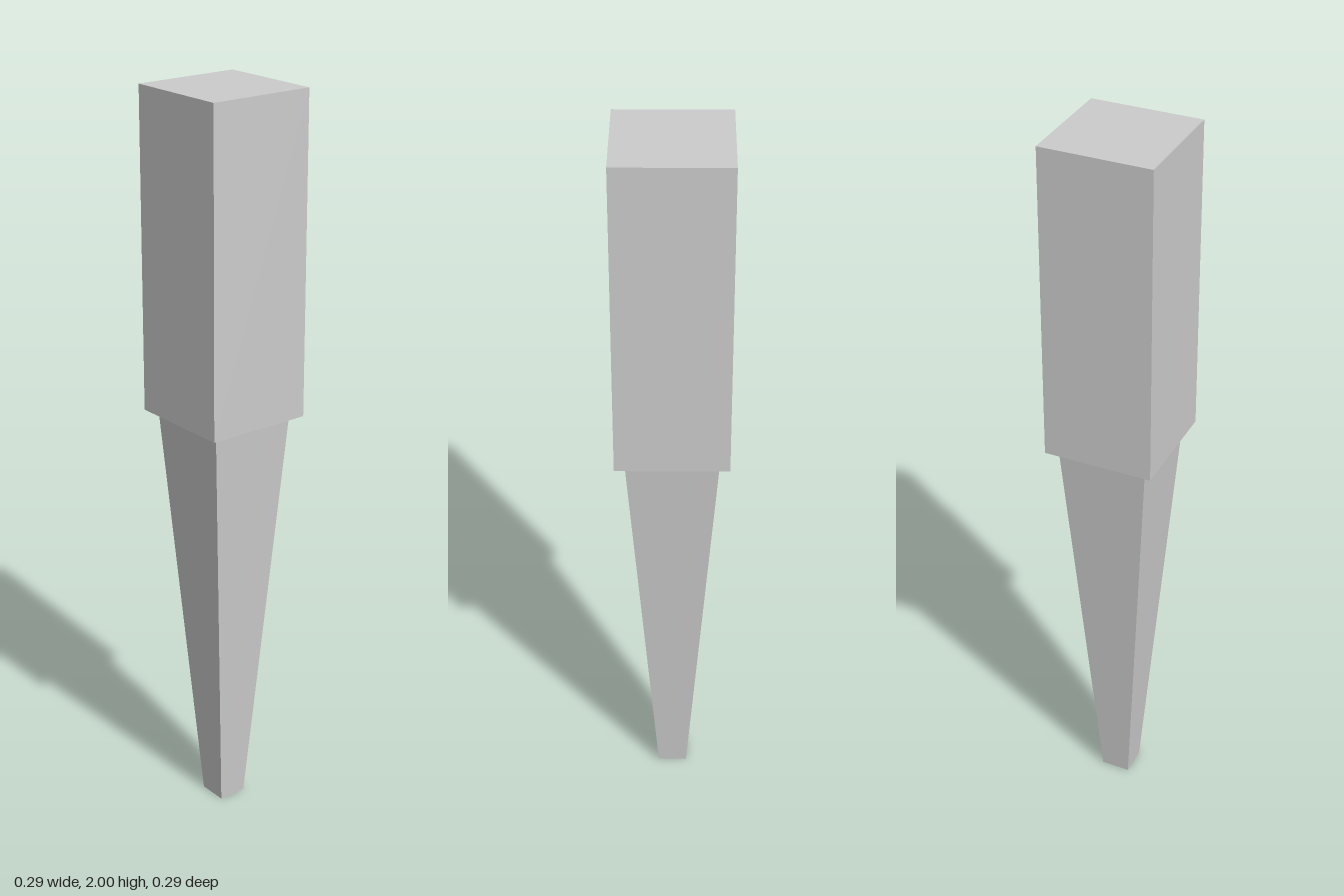
import * as THREE from 'three';

// Square bar between two heights, with its own half-width at each end
function squareBar(name, y0, y1, half0, half1, material) {
  const geometry = new THREE.BoxGeometry(2, y1 - y0, 2);
  const p = geometry.attributes.position;
  for (let i = 0; i < p.count; i++) {
    const half = p.getY(i) < 0 ? half0 : half1;
    p.setX(i, p.getX(i) * half);
    p.setZ(i, p.getZ(i) * half);
  }
  geometry.computeVertexNormals();
  const mesh = new THREE.Mesh(geometry, material);
  mesh.name = name;
  mesh.position.y = (y0 + y1) / 2;
  return mesh;
}

export function createModel() {
  const group = new THREE.Group();
  group.name = 'taperedLeg';
  const material = new THREE.MeshStandardMaterial({ color: 0xcccccc, flatShading: true });
  const shoulder = 1.15;

  // Straight upper block
  group.add(squareBar('upperBlock', shoulder, 2, 0.147, 0.147, material));
  // Tapered lower shaft, set in from the block
  group.add(squareBar('taperedShaft', 0, shoulder, 0.04, 0.121, material));

  return group;
}
